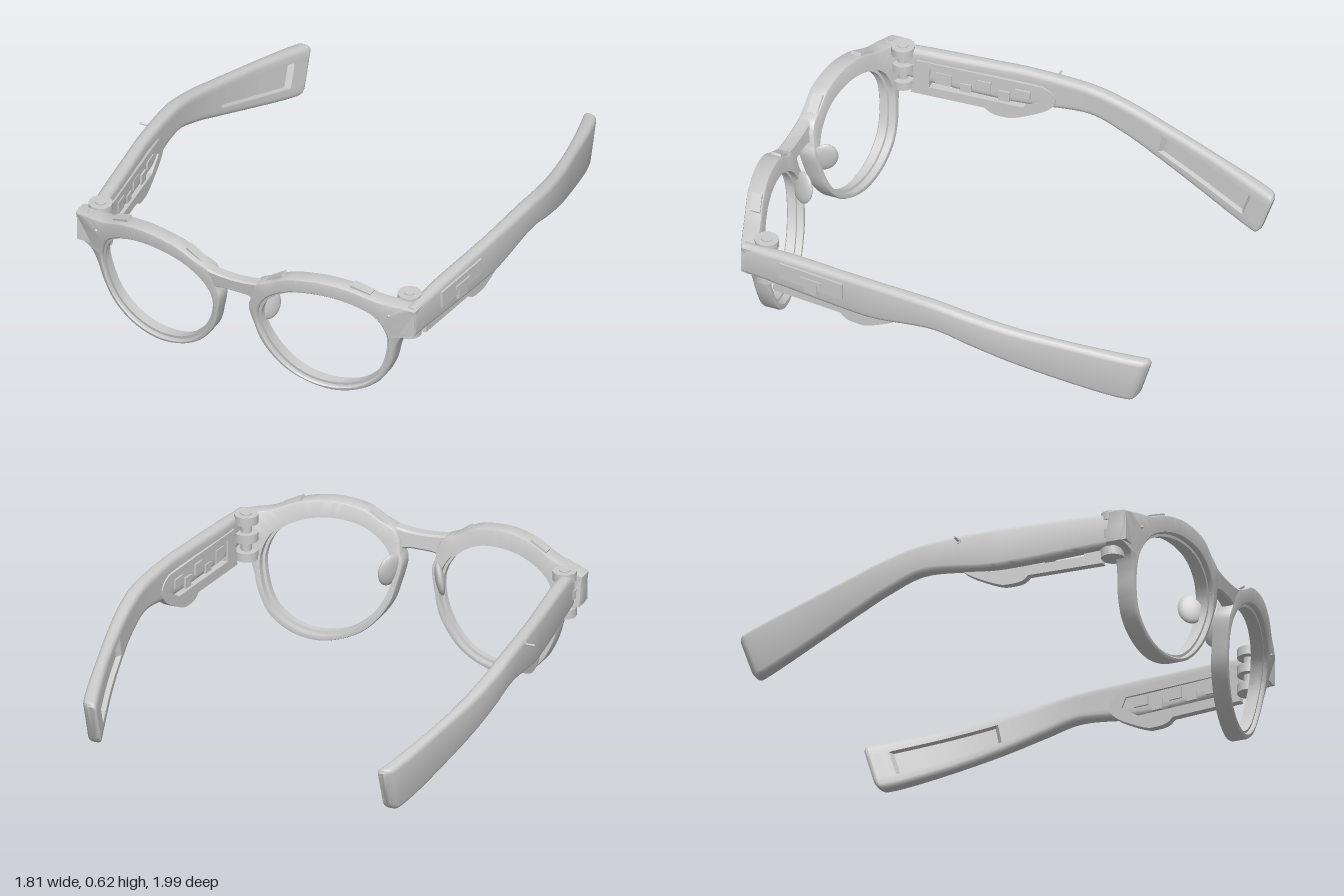
import * as THREE from 'three';
import { toCreasedNormals } from 'three/addons/utils/BufferGeometryUtils.js';

const material = new THREE.MeshStandardMaterial({ color: 0xcccccc });
const V2 = ([x, y]) => new THREE.Vector2(x, y);
const spline = (pts) => new THREE.SplineCurve(pts.map(V2)).getPoints(pts.length * 6);

// Finish a part: mirror it for the -x side, then crease its normals.
function part(name, geometry, side = 1) {
  let g = geometry.index ? geometry.toNonIndexed() : geometry;
  g.deleteAttribute('uv');
  if (side < 0) {
    const p = g.attributes.position;
    for (let i = 0; i < p.count; i += 3) {
      const a = new THREE.Vector3().fromBufferAttribute(p, i + 1);
      const b = new THREE.Vector3().fromBufferAttribute(p, i + 2);
      p.setXYZ(i + 1, b.x, b.y, b.z);
      p.setXYZ(i + 2, a.x, a.y, a.z);
    }
    for (let i = 0; i < p.count; i++) p.setX(i, -p.getX(i));
  }
  g.deleteAttribute('normal');
  g = toCreasedNormals(g, 0.6);
  const mesh = new THREE.Mesh(g, material);
  mesh.name = name;
  return mesh;
}

// Skin a row of equal cross-sections, either as a closed ring or with end caps.
function loft(rings, closed) {
  const n = rings[0].length, rows = rings.length, index = [];
  for (let i = 0; i < (closed ? rows : rows - 1); i++) {
    for (let j = 0; j < n; j++) {
      const k = (j + 1) % n, u = i * n, w = ((i + 1) % rows) * n;
      index.push(u + j, w + k, u + k, u + j, w + j, w + k);
    }
  }
  const last = (rows - 1) * n;
  for (let j = 1; j < n - 1 && !closed; j++) index.push(0, j, j + 1, last, last + j + 1, last + j);
  const g = new THREE.BufferGeometry();
  g.setAttribute('position', new THREE.Float32BufferAttribute(rings.flat(2), 3));
  g.setIndex(index);
  return g;
}

// Move vertices by a rule.
function warp(geometry, rule) {
  const p = geometry.attributes.position, v = new THREE.Vector3();
  for (let i = 0; i < p.count; i++) {
    rule(v.fromBufferAttribute(p, i));
    p.setXYZ(i, v.x, v.y, v.z);
  }
  return geometry;
}

// Front of the frame: wrapped around the face and leaning back at the bottom.
const frontZ = (x, y) => 0.998 - 0.2 * x * x - 0.17 * (0.55 - y);
const wrap = (g) => warp(g, (v) => { v.z += frontZ(v.x, v.y); });

const LENS = [[0.395, 0.535], [0.25, 0.51], [0.155, 0.44], [0.118, 0.35], [0.14, 0.235], [0.21, 0.125], [0.3, 0.06],
  [0.42, 0.038], [0.53, 0.065], [0.62, 0.14], [0.665, 0.25], [0.675, 0.365], [0.63, 0.46], [0.53, 0.515]];
const RIM_LOWER = [[0.08, 0.43], [0.068, 0.385], [0.085, 0.3], [0.12, 0.19], [0.2, 0.088], [0.3, 0.028], [0.42, 0.003],
  [0.54, 0.03], [0.635, 0.1], [0.69, 0.2], [0.718, 0.3], [0.75, 0.365], [0.815, 0.395]];
const RIM_UPPER = [[0.822, 0.53], [0.74, 0.545], [0.66, 0.56], [0.54, 0.605], [0.41, 0.622], [0.27, 0.605],
  [0.18, 0.56], [0.115, 0.53], [0.088, 0.485]];

// Rim section: distance in from the outline, or out from the lens hole, and depth
const RIM_INNER = [[0.018, 0], [0.012, -0.006], [0.012, -0.02], [0, -0.02], [0, -0.05], [0.012, -0.05], [0.012, -0.08]];
const RIM_OUTER = [[0.01, -0.08], [0.003, -0.077], [0, -0.07], [0, -0.01], [0.003, -0.003], [0.01, 0]];

function rimGeometry() {
  const hole = new THREE.CatmullRomCurve3(LENS.map(([x, y]) => new THREE.Vector3(x, y, 0)), true).getPoints(500);
  const angle = (p) => Math.atan2(p.y - 0.29, p.x - 0.4);
  const gap = (p, q) => 1 - Math.cos(angle(p) - angle(q));
  const outline = [...spline(RIM_LOWER), ...[0.43, 0.465, 0.5].map((y) => V2([0.819, y])), ...spline(RIM_UPPER)];
  return loft(outline.map((o) => {
    const h = hole.reduce((best, p) => (gap(p, o) < gap(best, o) ? p : best));
    const len = Math.hypot(o.x - h.x, o.y - h.y), dx = (o.x - h.x) / len, dy = (o.y - h.y) / len;
    return [...RIM_INNER.map(([d, z]) => [h.x + dx * d, h.y + dy * d, z]),
      ...RIM_OUTER.map(([d, z]) => [o.x - dx * d, o.y - dy * d, z])];
  }), true);
}

// Bridge: an arched bar whose ends sink into the rims
function bridgeGeometry() {
  const rings = [], c = 0.008, front = -0.001, back = -0.058;
  for (let i = 0; i <= 24; i++) {
    const x = -0.126 + (i / 24) * 0.252, k = Math.abs(x) / 0.126;
    const top = 0.523 + 0.012 * k * k, bottom = 0.45 - 0.036 * k ** 4;
    rings.push([[front, top - c], [front - c, top], [back + c, top], [back, top - c],
      [back, bottom + c], [back + c, bottom], [front - c, bottom], [front, bottom + c]].map(([z, y]) => [x, y, z]));
  }
  return loft(rings, false);
}

function buildFront() {
  const group = new THREE.Group();
  group.name = 'frameFront';
  group.add(part('bridge', wrap(bridgeGeometry())));

  for (const s of [1, -1]) {
    group.add(part('rim', wrap(rimGeometry()), s));

    // Nose pad spreading backwards
    const pad = new THREE.SphereGeometry(1, 20, 14).scale(0.02, 0.075, 0.06);
    group.add(part('nosePad', pad.rotateZ(0.15).rotateY(-0.5).translate(0.118, 0.36, 0.868), s));

    // Clips along the brow
    for (const [x, y, angle] of [[0.575, 0.585, -0.42], [0.2, 0.56, 0.6]]) {
      const clip = new THREE.BoxGeometry(0.09, 0.035, 0.045).rotateZ(angle).translate(x, y, -0.05);
      group.add(part('browClip', wrap(clip), s));
    }

    // Corner block and rivet
    const corner = new THREE.BoxGeometry(0.075, 0.135, 0.08).translate(0.775, 0.463, 0.82);
    group.add(part('cornerBlock', corner, s));
    const rivet = new THREE.SphereGeometry(0.007, 10, 8).translate(0.705, 0.49, frontZ(0.705, 0.49));
    group.add(part('rivet', rivet, s));

    // Hinge knuckles and pin
    for (const y of [0.365, 0.45, 0.532]) {
      group.add(part('hingeKnuckle', new THREE.CylinderGeometry(0.052, 0.052, 0.04, 28).translate(0.745, y, 0.77), s));
    }
    group.add(part('hingePin', new THREE.CylinderGeometry(0.024, 0.024, 0.2, 20).translate(0.745, 0.457, 0.77), s));
  }
  group.position.x = -0.006;
  return group;
}

// Temple stations: z, outer x, inner x, top y, bottom y, slant
const STATIONS = [
  [0.855, 0.812, 0.765, 0.54, 0.395, 0], [0.64, 0.838, 0.775, 0.55, 0.388, 0], [0.35, 0.87, 0.81, 0.557, 0.378, 0],
  [0.2, 0.885, 0.826, 0.56, 0.382, 0], [-0.06, 0.9, 0.837, 0.553, 0.415, 0], [-0.24, 0.892, 0.83, 0.523, 0.375, 0.12],
  [-0.42, 0.864, 0.805, 0.486, 0.318, 0.2], [-0.62, 0.82, 0.765, 0.452, 0.258, 0.27], [-0.82, 0.775, 0.712, 0.418, 0.205, 0.3],
  [-0.93, 0.745, 0.68, 0.4, 0.181, 0.3], [-0.96, 0.73, 0.672, 0.394, 0.184, 0.3], [-0.975, 0.712, 0.677, 0.378, 0.208, 0.3]];

// Rounded section whose inner face can sink into a pocket
function templeSection(z, xo, xi, yt, yb, slant) {
  const r = Math.min(0.022, (xo - xi) * 0.4), pocket = z < -0.42 && z > -0.87 ? 0.022 : 0;
  const pts = [];
  const corner = (x, y, start) => {
    for (let k = 0; k < 4; k++) {
      const a = start + (k / 3) * Math.PI / 2;
      pts.push([x + r * Math.cos(a), y + r * Math.sin(a)]);
    }
  };
  const at = (t) => yb + (yt - yb) * t;
  corner(xo - r, yb + r, -Math.PI / 2);
  corner(xo - r, yt - r, 0);
  corner(xi + r, yt - r, Math.PI / 2);
  pts.push([xi, at(0.76)], [xi + pocket, at(0.74)], [xi + pocket, at(0.26)], [xi, at(0.24)]);
  corner(xi + r, yb + r, Math.PI);
  return pts.map(([x, y]) => [x, y, z - slant * (y - at(0.5))]);
}

function templeGeometry() {
  const curve = (k) => new THREE.CatmullRomCurve3(
    STATIONS.map((s) => new THREE.Vector3(s[k], s[k + 1], s[k + 2])), false, 'catmullrom');
  const a = curve(0), b = curve(3), rings = [];
  for (let i = 0; i <= 110; i++) rings.push(templeSection(...a.getPoint(i / 110), ...b.getPoint(i / 110)));
  return loft(rings, false);
}

// Boxes and plates that follow the slope of the temple's front half
const shear = (g) => warp(g, (v) => { v.x -= 0.11 * (v.z - 0.35); });
const sideBox = (x, y, z, w, h, d) => shear(new THREE.BoxGeometry(w, h, d).translate(x, y, z));

function buildTemple(side) {
  const group = new THREE.Group();
  group.name = side > 0 ? 'leftTemple' : 'rightTemple';
  group.add(part('templeArm', templeGeometry(), side));

  // Inner tray with an open window, drawn in (-z, y)
  const tray = new THREE.Shape(spline([[-0.39, 0.33], [-0.36, 0.308], [-0.31, 0.302], [-0.25, 0.312], [-0.13, 0.375],
    [-0.085, 0.425], [-0.09, 0.475], [-0.14, 0.505]]).concat([[-0.7, 0.505], [-0.72, 0.33]].map(V2)));
  tray.holes.push(new THREE.Path([[-0.64, 0.375], [-0.64, 0.475], [-0.16, 0.475], [-0.14, 0.43], [-0.22, 0.375]].map(V2)));
  const trayGeometry = new THREE.ExtrudeGeometry(tray, { depth: 0.033, bevelEnabled: false });
  group.add(part('innerTray', shear(trayGeometry.rotateY(Math.PI / 2).translate(0.799, 0, 0)), side));

  // Components in the tray
  const items = [[0.58, 0.43, 0.07, 0.06], [0.48, 0.41, 0.05, 0.04], [0.4, 0.44, 0.06, 0.05], [0.31, 0.41, 0.05, 0.05],
    [0.23, 0.44, 0.07, 0.04]];
  for (const [z, y, d, h] of items) group.add(part('trayComponent', sideBox(0.81, y, z, 0.016, h, d), side));

  if (side > 0) {
    // Switch plate with its slider on the outside
    group.add(part('switchPlate', sideBox(0.87, 0.483, 0.513, 0.018, 0.078, 0.306), side));
    group.add(part('switchBar', sideBox(0.877, 0.485, 0.513, 0.016, 0.016, 0.1), side));
    group.add(part('switchSlider', sideBox(0.877, 0.45, 0.513, 0.014, 0.06, 0.06), side));
  } else {
    // Loose pin through the arm
    const pin = new THREE.CylinderGeometry(0.005, 0.005, 0.07, 10).rotateZ(Math.PI / 2).translate(0.9, 0.53, 0.1);
    group.add(part('pin', pin, side));
    const head = new THREE.CylinderGeometry(0.012, 0.012, 0.01, 12).rotateZ(Math.PI / 2).translate(0.89, 0.53, 0.1);
    group.add(part('pinHead', head, side));
    // This arm hangs slightly lower and further in
    const tilt = -0.04, y = 0.47, z = 0.77;
    group.rotation.x = tilt;
    group.position.set(0.028, y - y * Math.cos(tilt) + z * Math.sin(tilt), z - y * Math.sin(tilt) - z * Math.cos(tilt));
  }
  return group;
}

export function createModel() {
  const model = new THREE.Group();
  model.name = 'glasses';
  model.add(buildFront(), buildTemple(1), buildTemple(-1));
  return model;
}
